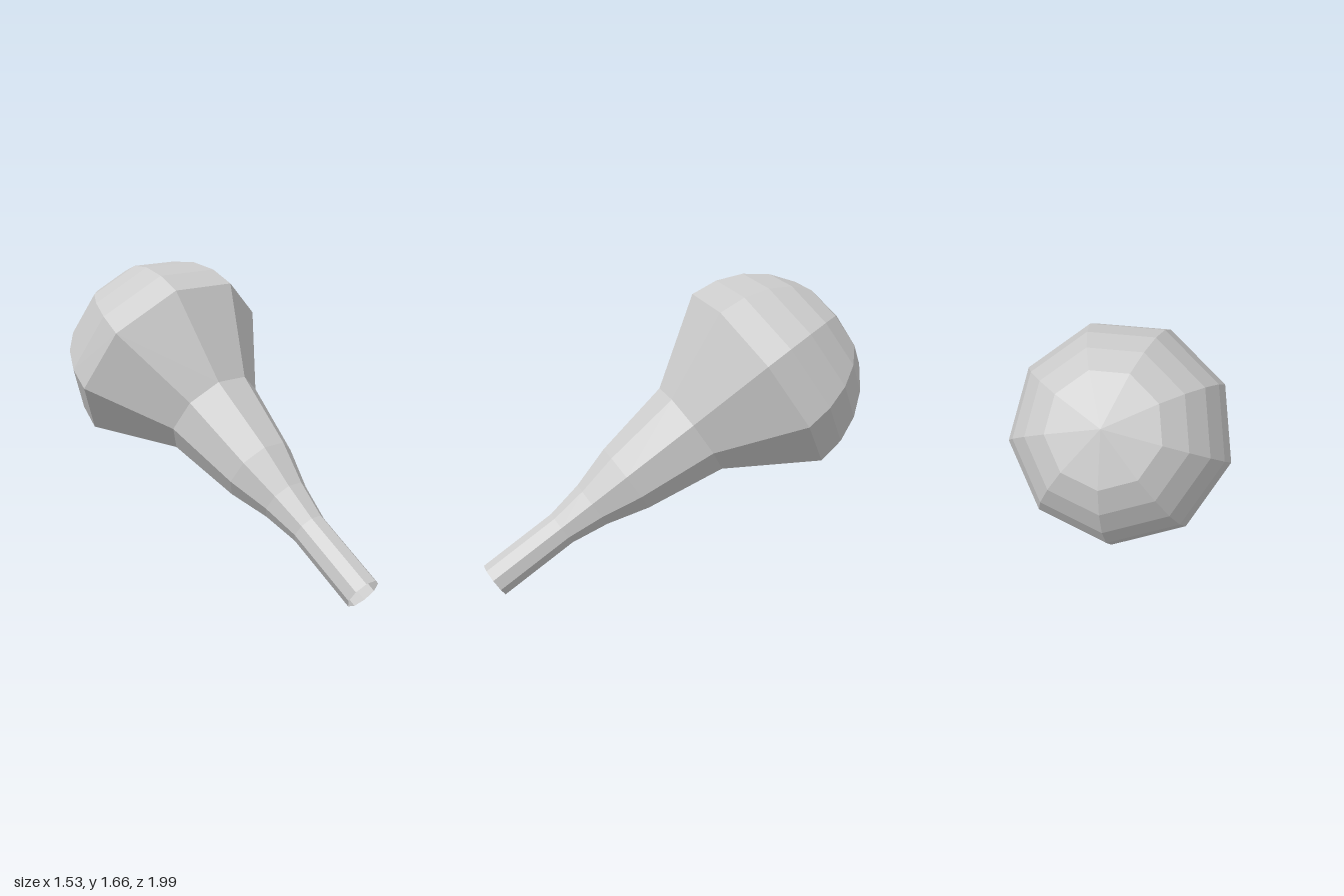
import * as THREE from 'three';

export function createModel() {
  const group = new THREE.Group();
  const material = new THREE.MeshStandardMaterial({
    color: 0xcccccc, flatShading: true, side: THREE.DoubleSide,
  });

  // Profile along the axis: open neck first, then the flaring body
  const profile = [
    [0.102, -1.86], [0.102, -1.388], [0.14, -1.172], [0.212, -0.931], [0.293, -0.471],
  ].map(([r, y]) => new THREE.Vector2(r, y));

  // Dome rings every 15 degrees, closed by a shallow fan
  const R = 0.605;
  for (const deg of [0, 15, 30, 45, 60, 90]) {
    const t = THREE.MathUtils.degToRad(deg);
    profile.push(new THREE.Vector2(deg === 90 ? 0 : R * Math.cos(t), R * Math.sin(t)));
  }

  // Nine-sided bulb, tilted so that the neck points forward, left and down
  const bulb = new THREE.Mesh(new THREE.LatheGeometry(profile, 9), material);
  bulb.name = 'bulb';
  const axis = new THREE.Vector3(-0.453, 0.537, -0.711).normalize();
  const side = new THREE.Vector3(-0.844, 0, 0.537).normalize();
  const up = new THREE.Vector3().crossVectors(side, axis);
  bulb.quaternion.setFromRotationMatrix(new THREE.Matrix4().makeBasis(side, axis, up));
  bulb.position.set(-0.173, 1.081, -0.398);
  group.add(bulb);

  return group;
}
